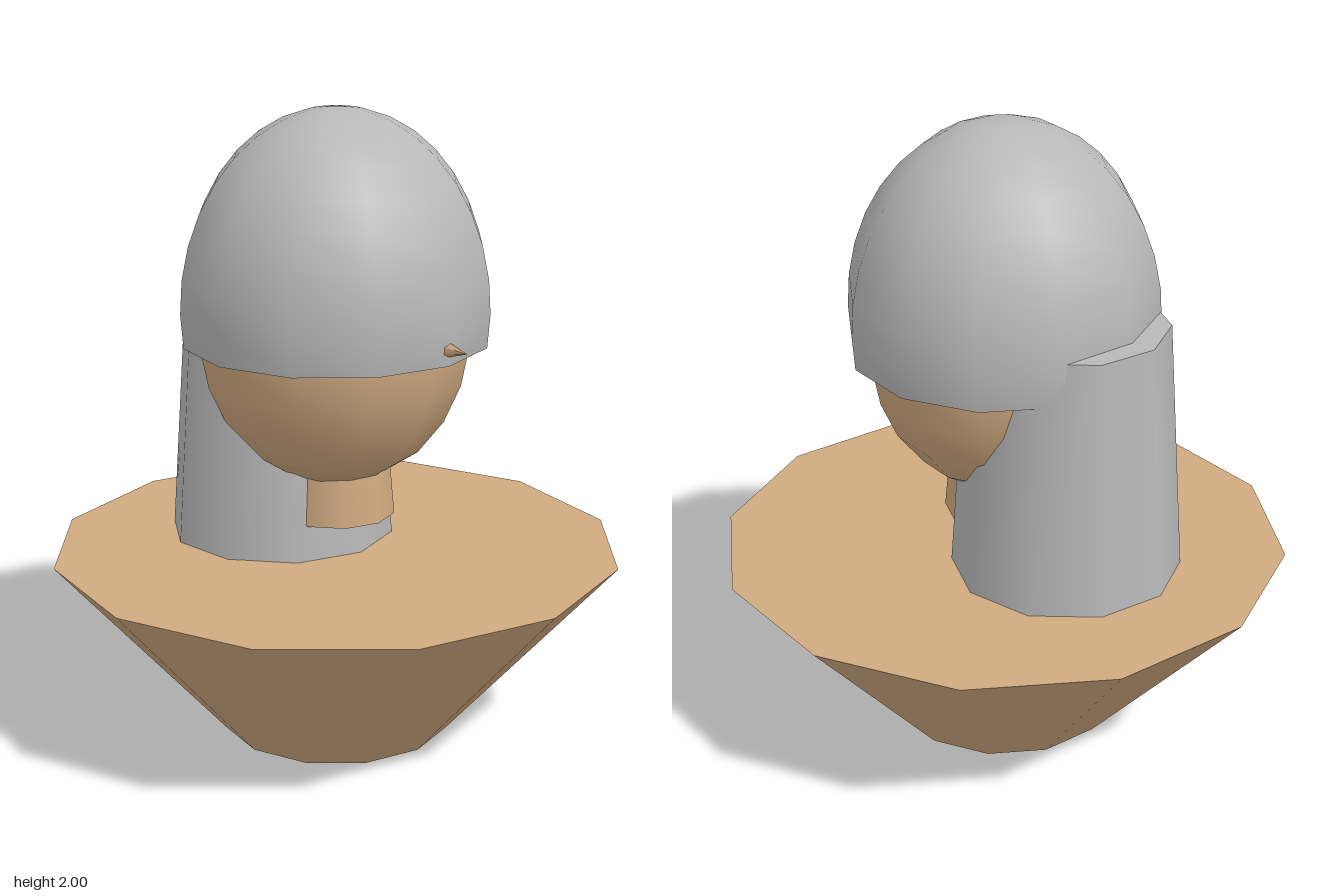
import * as THREE from 'three';

export function createModel() {
  const tan = new THREE.MeshStandardMaterial({ color: 0xd0aa80 });
  tan.name = 'tan';
  const grey = new THREE.MeshStandardMaterial({ color: 0xb8b8b8, side: THREE.DoubleSide });
  grey.name = 'grey';

  const model = new THREE.Group();
  model.name = 'bust';

  function add(name, geometry, material, y, z = 0) {
    const mesh = new THREE.Mesh(geometry, material);
    mesh.name = name;
    mesh.position.set(0, y, z);
    model.add(mesh);
    return mesh;
  }

  // Flaring shoulder block
  add('shoulders', new THREE.CylinderGeometry(0.905, 0.365, 0.6, 12), tan, 0.3);

  // Tall tapered column behind the head, standing on the shoulders
  add('backColumn', new THREE.CylinderGeometry(0.308, 0.362, 0.815, 10), grey, 1.0075, -0.25);

  // Short neck stub under the head
  add('neck', new THREE.CylinderGeometry(0.165, 0.187, 0.24, 10), tan, 0.835);

  // Egg-shaped head, its crown hidden inside the cap
  const profile = [
    [0, 0.847], [0.09, 0.85], [0.175, 0.864], [0.275, 0.926], [0.36, 1.03],
    [0.415, 1.15], [0.44, 1.275], [0.44, 1.4], [0.38, 1.58], [0.24, 1.72], [0, 1.78],
  ].map(([r, y]) => new THREE.Vector2(r, y));
  add('head', new THREE.LatheGeometry(profile, 12), tan, 0).scale.z = 0.94;

  // Open dome cap reaching slightly below its widest ring
  const dome = new THREE.SphereGeometry(1, 12, 10, 0, Math.PI * 2, 0, Math.acos(-0.185));
  add('cap', dome, grey, 1.39).scale.set(0.495, 0.61, 0.482);

  // Small pointed stud on the cap's front rim
  const stud = new THREE.ConeGeometry(0.03, 0.095, 6);
  stud.rotateX(Math.PI / 2);
  add('stud', stud, tan, 1.328, 0.4975);

  return model;
}
